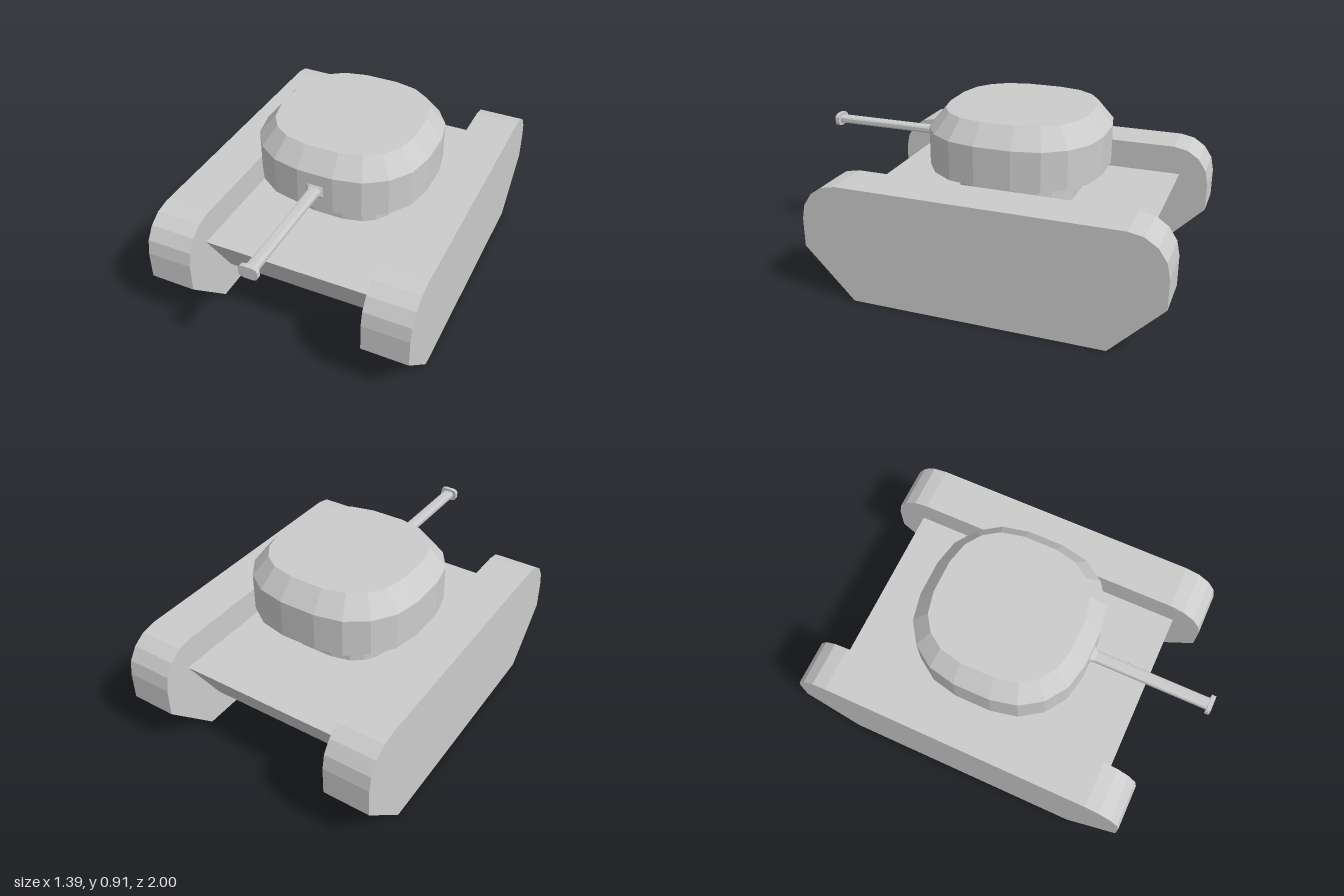
import * as THREE from 'three';

const material = new THREE.MeshStandardMaterial({ color: 0xcccccc, flatShading: true });
const centerZ = -0.09;

// Repeats one quadrant of points round the centre, then scales it
function ring(quadrant, sx = 1, sz = 1) {
  const points = [];
  let quarter = quadrant;
  for (let k = 0; k < 4; k++) {
    points.push(...quarter.map(([x, z]) => [x * sx, z * sz]));
    quarter = quarter.map(([x, z]) => [-z, x]);
  }
  return points;
}

// Closed solid through horizontal rings: levels = [[y, points], ...]
function loft(levels) {
  const pos = [];
  const n = levels[0][1].length;
  const last = levels.length - 1;
  const at = (l, i) => {
    const [x, z] = levels[l][1][i % n];
    return [x, levels[l][0], z];
  };
  for (let l = 0; l < last; l++) {
    for (let i = 0; i < n; i++) {
      const a = at(l, i), b = at(l, i + 1), c = at(l + 1, i), d = at(l + 1, i + 1);
      pos.push(...a, ...c, ...b, ...b, ...c, ...d);
    }
  }
  for (let i = 1; i < n - 1; i++) {
    pos.push(...at(0, 0), ...at(0, i), ...at(0, i + 1));
    pos.push(...at(last, 0), ...at(last, i + 1), ...at(last, i));
  }
  const geometry = new THREE.BufferGeometry();
  geometry.setAttribute('position', new THREE.Float32BufferAttribute(pos, 3));
  geometry.computeVertexNormals();
  return geometry;
}

// Twenty-sided rounded square, inset evenly by d
function turretRing(d) {
  return ring([
    [0.45 - d, 0.095 - 0.08 * d],
    [0.42 - 0.96 * d, 0.235 - 0.36 * d],
    [0.345 - 0.72 * d, 0.345 - 0.72 * d],
    [0.235 - 0.36 * d, 0.42 - 0.96 * d],
    [0.095 - 0.08 * d, 0.45 - d],
  ]);
}

// Side outline of a track: rounded upper corners, chamfered lower ones
function trackGeometry() {
  const r = 0.195, half = 0.91, top = 0.61, steps = 4;
  const outline = [[-0.65, 0], [0.65, 0], [half, 0.265]];
  for (let i = 0; i <= 2 * steps + 1; i++) {
    const side = i <= steps ? 1 : -1;
    const angle = ((i <= steps ? i : i - 1) / steps) * Math.PI / 2;
    outline.push([side * (half - r) + r * Math.cos(angle), top - r + r * Math.sin(angle)]);
  }
  outline.push([-half, 0.265]);
  const shape = new THREE.Shape(outline.map(([z, y]) => new THREE.Vector2(z + centerZ, y)));
  return new THREE.ExtrudeGeometry(shape, { depth: 0.24, bevelEnabled: false }).rotateY(-Math.PI / 2);
}

export function createModel() {
  const model = new THREE.Group();
  const add = (name, geometry, x = 0, y = 0, z = 0) => {
    const mesh = new THREE.Mesh(geometry, material);
    mesh.name = name;
    mesh.position.set(x, y, z);
    model.add(mesh);
  };

  // Tracks
  const track = trackGeometry();
  add('leftTrack', track, 0.695);
  add('rightTrack', track, -0.455);

  // Hull, tapering to a shorter floor
  const corner = [[1, 1]];
  add('hull', loft([
    [0.155, ring(corner, 0.455, 0.57)],
    [0.455, ring(corner, 0.455, 0.755)],
  ]), 0, 0, centerZ);

  // Turret and the narrower neck under it
  add('turretNeck', loft([[0.45, turretRing(0.147)], [0.612, turretRing(0.147)]]), 0, 0, centerZ);
  add('turret', loft([
    [0.61, turretRing(0)],
    [0.81, turretRing(0)],
    [0.91, turretRing(0.083)],
  ]), 0, 0, centerZ);

  // Gun with flared base and muzzle collar, built upright and laid forward
  const round = [[1, 0.45], [0.85, 0.85], [0.45, 1]];
  const square = [[1, 0.8], [0.97, 0.97], [0.8, 1]];
  add('gun', loft([
    [0.34, ring(square, 0.046, 0.037)],
    [0.358, ring(square, 0.046, 0.037)],
    [0.368, ring(round, 0.036, 0.026)],
    [0.385, ring(round, 0.03, 0.019)],
    [0.978, ring(round, 0.03, 0.019)],
    [0.978, ring(round, 0.048, 0.033)],
    [1, ring(round, 0.048, 0.033)],
  ]).rotateX(Math.PI / 2), 0, 0.711, 0);

  return model;
}
